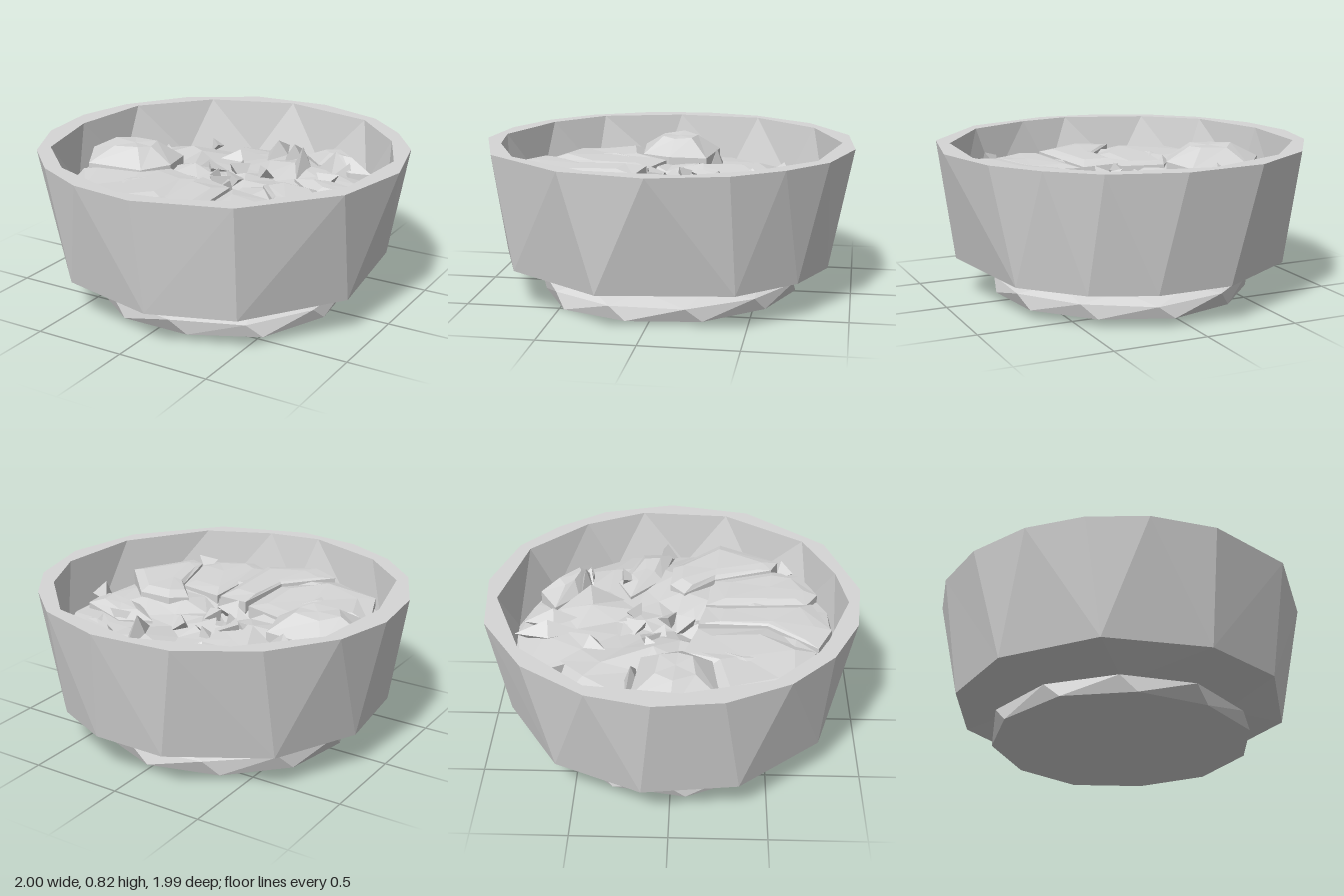
import * as THREE from 'three';

const TAU = Math.PI * 2;

// Small seeded generator, returns -1..1
function seeded(seed) {
  let s = seed;
  return () => {
    s = (s * 16807) % 2147483647;
    return (s / 2147483647) * 2 - 1;
  };
}

// Regular ring of points [x, y, z] with optional uneven radius and height
function ring(n, r, y, phase = 0, rand = null, dr = 0, dy = 0) {
  return Array.from({ length: n }, (_, i) => {
    const a = phase + (i / n) * TAU;
    const q = r + (rand ? rand() * dr : 0);
    return [q * Math.cos(a), y + (rand ? rand() * dy : 0), q * Math.sin(a)];
  });
}

// Skin a chain of rings, whose point counts may differ, with triangles
function skin(rings, cx = 0, cz = 0) {
  const angle = (p) => (Math.atan2(p[2] - cz, p[0] - cx) + TAU + 0.2) % TAU;
  const sorted = rings.map((r) => [...r].sort((p, q) => angle(p) - angle(q)));
  const pos = [];
  for (let k = 0; k + 1 < sorted.length; k++) {
    const a = sorted[k], b = sorted[k + 1];
    const na = a.length === 1 ? 0 : a.length;
    const nb = b.length === 1 ? 0 : b.length;
    const at = (r, i) => r[i % r.length];
    const th = (r, i) => angle(at(r, i)) + (i >= r.length ? TAU : 0);
    let i = 0, j = 0;
    while (i < na || j < nb) {
      if (j >= nb || (i < na && th(a, i + 1) <= th(b, j + 1))) {
        pos.push(...at(a, i), ...at(b, j), ...at(a, i + 1));
        i++;
      } else {
        pos.push(...at(a, i), ...at(b, j), ...at(b, j + 1));
        j++;
      }
    }
  }
  const g = new THREE.BufferGeometry();
  g.setAttribute('position', new THREE.Float32BufferAttribute(pos, 3));
  g.computeVertexNormals();
  return g;
}

export function createModel() {
  const group = new THREE.Group();
  const grey = new THREE.MeshStandardMaterial({ color: 0xd6d6d6, flatShading: true });
  grey.name = 'plain grey';
  const add = (name, geometry) => {
    const m = new THREE.Mesh(geometry, grey);
    m.name = name;
    group.add(m);
    return m;
  };
  const rand = seeded(71);

  // Bowl: flared outer wall, flat rim and inner wall
  const rim = [
    [1, -0.04], [0.91, 0.4], [0.55, 0.83], [0.07, 0.99], [-0.28, 0.95], [-0.57, 0.81],
    [-0.8, 0.59], [-0.96, 0.27], [-1, -0.08], [-0.92, -0.4], [-0.69, -0.73], [-0.32, -0.96],
    [0.11, -1], [0.49, -0.88], [0.72, -0.68], [0.9, -0.43],
  ].map(([x, z]) => [x, 0.82, z]);
  const innerRim = [
    [0.9, -0.2], [0.87, 0.28], [0.58, 0.71], [0.23, 0.87], [-0.06, 0.92], [-0.5, 0.76],
    [-0.77, 0.51], [-0.89, 0.06], [-0.84, -0.41], [-0.53, -0.76], [-0.07, -0.93],
    [0.45, -0.82], [0.75, -0.52],
  ].map(([x, z]) => [x, 0.82, z]);
  const innerBase = ring(13, 0.875, 0.5, 0.05);
  const lowerEdge = [15, 55, 85, 121, 157, 189, 221, 257, 283, 305, 330].map((d) => {
    const a = (d * Math.PI) / 180;
    return [0.9 * Math.cos(a), 0.2, 0.9 * Math.sin(a)];
  });
  const neck = ring(10, 0.56, 0.13, 0.1, rand, 0.03, 0.012);
  add('bowl', skin([neck, lowerEdge, rim, innerRim, innerBase]));

  // Foot: faceted disc under the bowl, joined by a narrow neck
  add('foot', skin([
    [[0, 0.004, 0]], ring(11, 0.69, 0.01, 0.17, rand, 0.015, 0.008),
    ring(11, 0.7, 0.085, 0.3, rand, 0.012, 0.012), neck,
  ]));

  // Filling: uneven faceted surface, lower towards the back and the wall
  const slope = (points) => points.map(([x, y, z]) => [x, y + 0.045 * z, z]);
  add('filling', skin([
    innerBase,
    slope(ring(15, 0.855, 0.57, 0.1, rand, 0.012, 0.02)),
    slope(ring(17, 0.67, 0.62, 0.2, rand, 0.05, 0.03)),
    slope(ring(16, 0.48, 0.63, 0, rand, 0.05, 0.035)),
    slope(ring(13, 0.3, 0.62, 0.15, rand, 0.04, 0.035)),
    ring(9, 0.14, 0.6, 0.1, rand, 0.03, 0.03),
    [[0, 0.58, 0]],
  ]));

  // Broad pieces lying on the filling: outline, rim height, crown height, crown scale
  const pieces = [
    ['leftLump', [[-0.87, 0], [-0.7, -0.2], [-0.36, -0.16], [-0.31, 0.05], [-0.4, 0.21], [-0.72, 0.25]], 0.66, 0.75, 0.45],
    ['rightSlab', [[0.27, 0.05], [0.35, -0.03], [0.55, -0.02], [0.8, 0.25], [0.6, 0.58], [0.51, 0.54], [0.42, 0.22]], 0.66, 0.68, 0.75],
    ['frontWedge', [[-0.05, 0.13], [0.14, 0.17], [0.18, 0.75], [-0.1, 0.84], [-0.27, 0.76], [-0.06, 0.5]], 0.66, 0.675, 0.7],
    ['frontLeftSlab', [[-0.3, 0.06], [-0.07, 0.13], [-0.06, 0.5], [-0.27, 0.75], [-0.6, 0.62], [-0.74, 0.27], [-0.4, 0.2]], 0.645, 0.665, 0.7],
    ['frontRightSlab', [[0.16, 0.17], [0.42, 0.22], [0.52, 0.55], [0.5, 0.7], [0.3, 0.79], [0.18, 0.72]], 0.645, 0.66, 0.7],
    ['backRightSlab', [[0.17, -0.66], [0.35, -0.76], [0.65, -0.5], [0.53, -0.47], [0.3, -0.54]], 0.61, 0.68, 0.4],
    ['sideSlab', [[0.3, -0.25], [0.47, -0.33], [0.78, -0.2], [0.8, -0.02], [0.5, -0.08]], 0.6, 0.635, 0.5],
  ];
  for (const [name, outline, low, high, k] of pieces) {
    const cx = outline.reduce((s, p) => s + p[0], 0) / outline.length;
    const cz = outline.reduce((s, p) => s + p[1], 0) / outline.length;
    const level = (f, y, d) => outline.map(([x, z]) =>
      [cx + (x - cx) * f, y + rand() * d, cz + (z - cz) * f]);
    add(name, skin([
      level(1, 0.5, 0), level(0.995, low, 0.01), level(k, high, 0.008), [[cx, high, cz]],
    ], cx, cz));
  }

  // Thin ridges at the back: start and end in x, z, peak height, width
  const ridges = [
    [-0.05, -0.86, -0.01, -0.5, 0.66, 0.06], [0.07, -0.82, 0.1, -0.5, 0.66, 0.05],
    [0.18, -0.66, 0.3, -0.27, 0.72, 0.06], [-0.28, -0.3, -0.02, -0.58, 0.65, 0.06],
    [-0.62, -0.23, -0.36, -0.18, 0.69, 0.04], [0.3, -0.53, 0.55, -0.49, 0.71, 0.04],
  ];
  for (const [x0, z0, x1, z1, y, w] of ridges) {
    const g = new THREE.OctahedronGeometry(1, 0);
    g.scale(Math.hypot(x1 - x0, z1 - z0) / 2, y - 0.58, w);
    const m = add('ridge', g);
    m.position.set((x0 + x1) / 2, 0.58, (z0 + z1) / 2);
    m.rotation.y = -Math.atan2(z1 - z0, x1 - x0);
  }

  // Small crumbs scattered around the centre and back: x, z, size
  const crumbs = [
    [-0.02, -0.2, 0.08], [0.13, -0.22, 0.07], [-0.14, -0.13, 0.08], [-0.2, -0.12, 0.06],
    [-0.09, -0.07, 0.06], [0.05, -0.03, 0.07], [0, 0.06, 0.08], [0.07, 0.08, 0.06],
    [-0.05, -0.26, 0.05], [0.78, -0.06, 0.07], [0.5, -0.5, 0.07], [-0.4, -0.59, 0.05],
    [0.48, -0.28, 0.08], [0.53, 0.62, 0.07],
  ];
  for (const [x, z, s] of crumbs) {
    const m = add('crumb', new THREE.TetrahedronGeometry(s, 0));
    m.position.set(x, 0.62 + 0.04 * z, z);
    m.rotation.set(rand() * 3, rand() * 3, rand() * 3);
  }
  return group;
}
